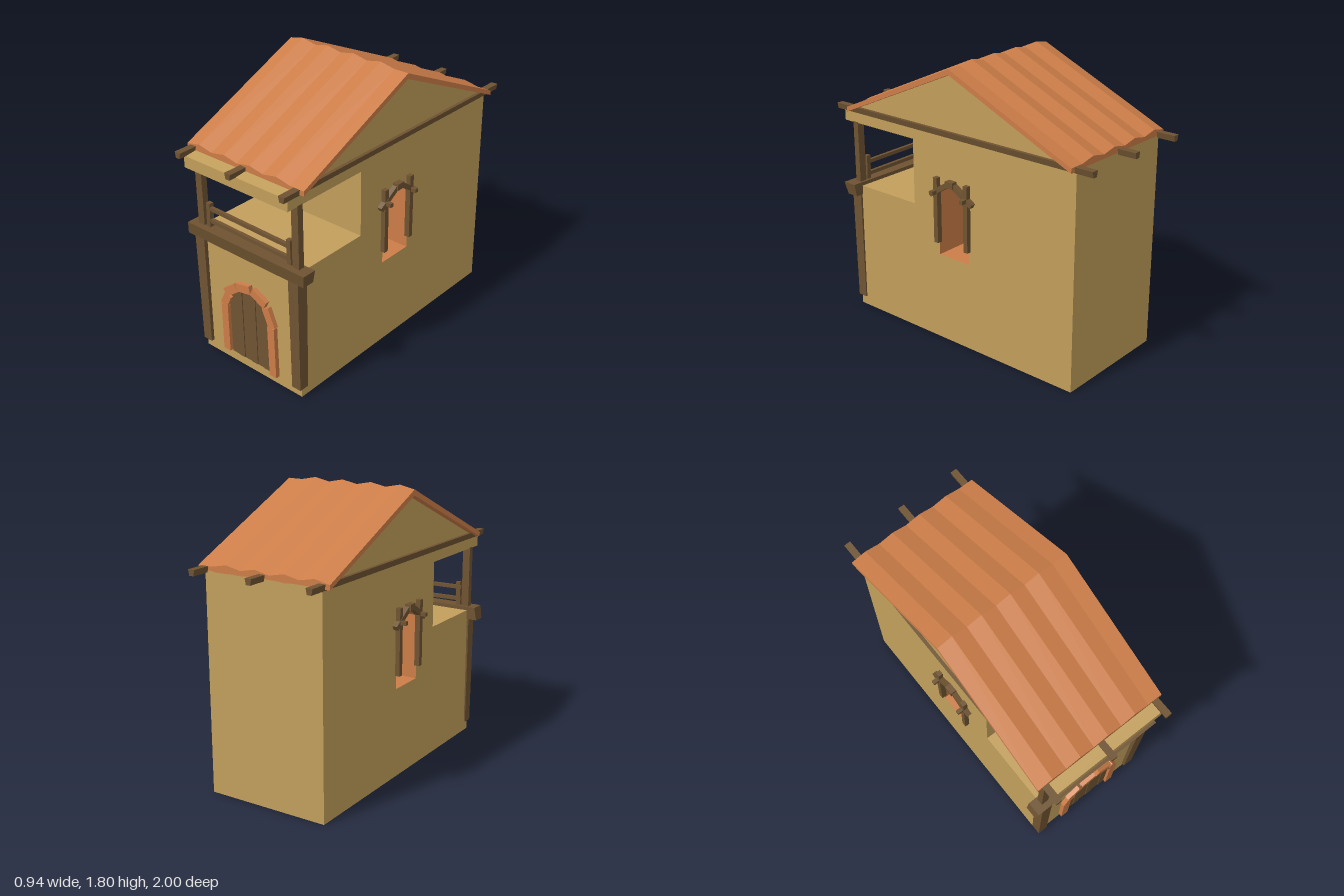
import * as THREE from 'three';

const mat = (color) => new THREE.MeshStandardMaterial({ color, flatShading: true });

export function createModel() {
  const house = new THREE.Group();
  const plaster = mat(0xc29f5c), clay = mat(0xcc7d48), wood = mat(0x6f5331);

  const add = (name, geometry, material, parent = house) => {
    const mesh = new THREE.Mesh(geometry, material);
    mesh.name = name;
    parent.add(mesh);
    return mesh;
  };
  const group = (name) => {
    const g = new THREE.Group();
    g.name = name;
    house.add(g);
    return g;
  };
  // box given by its lower and upper corners
  const box = (name, x0, x1, y0, y1, z0, z1, material, parent) => {
    const m = add(name, new THREE.BoxGeometry(x1 - x0, y1 - y0, z1 - z0), material, parent);
    m.position.set((x0 + x1) / 2, (y0 + y1) / 2, (z0 + z1) / 2);
    return m;
  };
  const outline = (pts) => pts.map(([a, b]) => new THREE.Vector2(a, b));
  // side profile in (z, y), extruded along x
  const acrossX = (shape, width, steps = 1) =>
    new THREE.ExtrudeGeometry(shape, { depth: width, steps, bevelEnabled: false })
      .translate(0, 0, -width / 2).rotateY(-Math.PI / 2);

  // House body: balcony recess at the front, window opening right through
  const bodyShape = new THREE.Shape(outline([
    [-0.88, 0], [0.88, 0], [0.88, 0.86], [0.35, 0.86], [0.35, 1.28], [0.955, 1.28],
    [0.955, 1.355], [0.88, 1.365], [0, 1.75], [-0.88, 1.365]]));
  bodyShape.holes.push(new THREE.Path(outline([
    [-0.1, 0.575], [-0.1, 0.985], [-0.02, 1.05], [0.06, 1.05], [0.142, 0.985], [0.142, 0.575]])));
  const body = acrossX(bodyShape, 0.8);
  // undersides and window reveals are clay
  body.clearGroups();
  const p = body.attributes.position, n = body.attributes.normal;
  for (let i = 0; i < p.count; i += 3) {
    const reveal = Math.abs(n.getX(i)) < 0.5 && Math.abs(p.getZ(i) - 0.02) < 0.13 &&
      p.getY(i) > 0.5 && p.getY(i) < 1.1;
    body.addGroup(i, 3, reveal || n.getY(i) < -0.9 ? 1 : 0);
  }
  add('houseBody', body, [plaster, clay]);

  // Corrugated gable roof: the upper skin rises and falls along x
  const roof = acrossX(new THREE.Shape(outline([
    [-0.88, 1.36], [0, 1.745], [0.88, 1.36], [0.88, 1.39], [0, 1.78], [-0.88, 1.39]])), 0.9, 9);
  const r = roof.attributes.position;
  for (let i = 0; i < r.count; i++) {
    const strip = Math.round((r.getX(i) + 0.45) / 0.1);
    const under = 1.745 - Math.abs(r.getZ(i)) * 0.385 / 0.88;
    if (r.getY(i) > under + 0.01 && strip % 2 === 1 && strip < 9) r.setY(i, r.getY(i) + 0.02);
  }
  roof.computeVertexNormals();
  add('roof', roof, clay);

  // Roof beams, narrower underneath
  const beamShape = new THREE.Shape(outline([[-0.015, 1.353], [0.015, 1.353], [0.022, 1.39], [-0.022, 1.39]]));
  for (const x of [-0.4, 0, 0.4]) {
    add('roofBeam', new THREE.ExtrudeGeometry(beamShape, { depth: 2, bevelEnabled: false }), wood)
      .position.set(x, 0, -1);
  }

  // Balcony beam, slightly skewed
  const beam = new THREE.BoxGeometry(0.925, 0.083, 0.09);
  const b = beam.attributes.position;
  for (let i = 0; i < b.count; i++) {
    const top = b.getY(i) > 0;
    b.setX(i, b.getX(i) + (top ? 0.007 : -0.009));
    if (b.getZ(i) > 0) b.setZ(i, top ? 0.049 : 0.035);
  }
  beam.computeVertexNormals();
  add('balconyBeam', beam, wood).position.set(0, 0.842, 0.87);

  // Corner posts below and above the balcony beam
  for (const s of [-1, 1]) {
    const post = new THREE.CylinderGeometry(0.053, 0.047, 0.75, 4, 1).rotateY(Math.PI / 4);
    add('lowerPost', post, wood).position.set(s * 0.375, 0.435, 0.868);
    box('upperPost', s * 0.377 - 0.025, s * 0.377 + 0.025, 0.87, 1.285, 0.84, 0.88, wood);
  }

  // Railing
  const railing = group('railing');
  for (const s of [-1, 1]) {
    const m = box('railPost', s * 0.32 - 0.015, s * 0.32 + 0.015, 0.86, 1.04, 0.845, 0.875, wood, railing);
    m.rotation.z = s * 0.03;
  }
  for (const y of [0.92, 1.0]) {
    const m = box('rail', -0.34, 0.33, y - 0.012, y + 0.012, 0.85, 0.872, wood, railing);
    m.rotation.z = -0.015;
  }

  // Plank door with an arched top
  const door = group('door');
  const arch = (x) => 0.41 + 0.165 * Math.sqrt(Math.max(0, 1 - (x / 0.18) ** 2));
  const w = 0.054;
  for (let i = 0; i < 6; i++) {
    const a = -0.162 + i * w + 0.0015, c = a + w - 0.003;
    const plank = new THREE.Shape(outline([[a, 0.07], [c, 0.07], [c, arch(c)], [(a + c) / 2, arch((a + c) / 2)], [a, arch(a)]]));
    add('doorPlank', new THREE.ExtrudeGeometry(plank, { depth: 0.015 + (i % 2) * 0.003, bevelEnabled: false }), wood, door)
      .position.z = 0.875;
  }

  // Door surround: jambs and arch blocks, each from one end to the other
  const surround = [
    [-0.193, 0.075, -0.192, 0.405], [-0.198, 0.405, -0.158, 0.49], [-0.178, 0.5, -0.088, 0.567],
    [-0.08, 0.578, 0.027, 0.598], [0.042, 0.598, 0.148, 0.545], [0.148, 0.53, 0.198, 0.41],
    [0.193, 0.06, 0.188, 0.41]];
  for (const [x0, y0, x1, y1] of surround) {
    const len = Math.hypot(x1 - x0, y1 - y0);
    const m = add('doorSurroundBlock', new THREE.BoxGeometry(len, 0.054, 0.04), clay, door);
    m.position.set((x0 + x1) / 2, (y0 + y1) / 2, 0.889);
    m.rotation.z = Math.atan2(y1 - y0, x1 - x0);
  }

  // Timber window frames on both side walls
  for (const s of [-1, 1]) {
    const frame = group(s > 0 ? 'leftWindowFrame' : 'rightWindowFrame');
    const at = (name, d0, d1, y0, y1, z0, z1) =>
      box(name, Math.min(s * d0, s * d1), Math.max(s * d0, s * d1), y0, y1, z0, z1, wood, frame);
    for (const z of [0.144, -0.097]) {
      at('windowPost', 0.395, 0.43, 0.663, 1.087, z - 0.016, z + 0.016);
      at('windowPeg', 0.39, 0.467, 0.985, 1.01, z - 0.013, z + 0.013);
    }
    at('windowTopBlock', 0.395, 0.44, 1.048, 1.088, -0.005, 0.053);
    for (const t of [-1, 1]) {
      const m = at('windowBrace', 0.395, 0.432, 1.0, 1.032, 0.023 + t * 0.095 - 0.085, 0.023 + t * 0.095 + 0.085);
      m.rotation.x = t * 0.57;
    }
  }
  return house;
}
